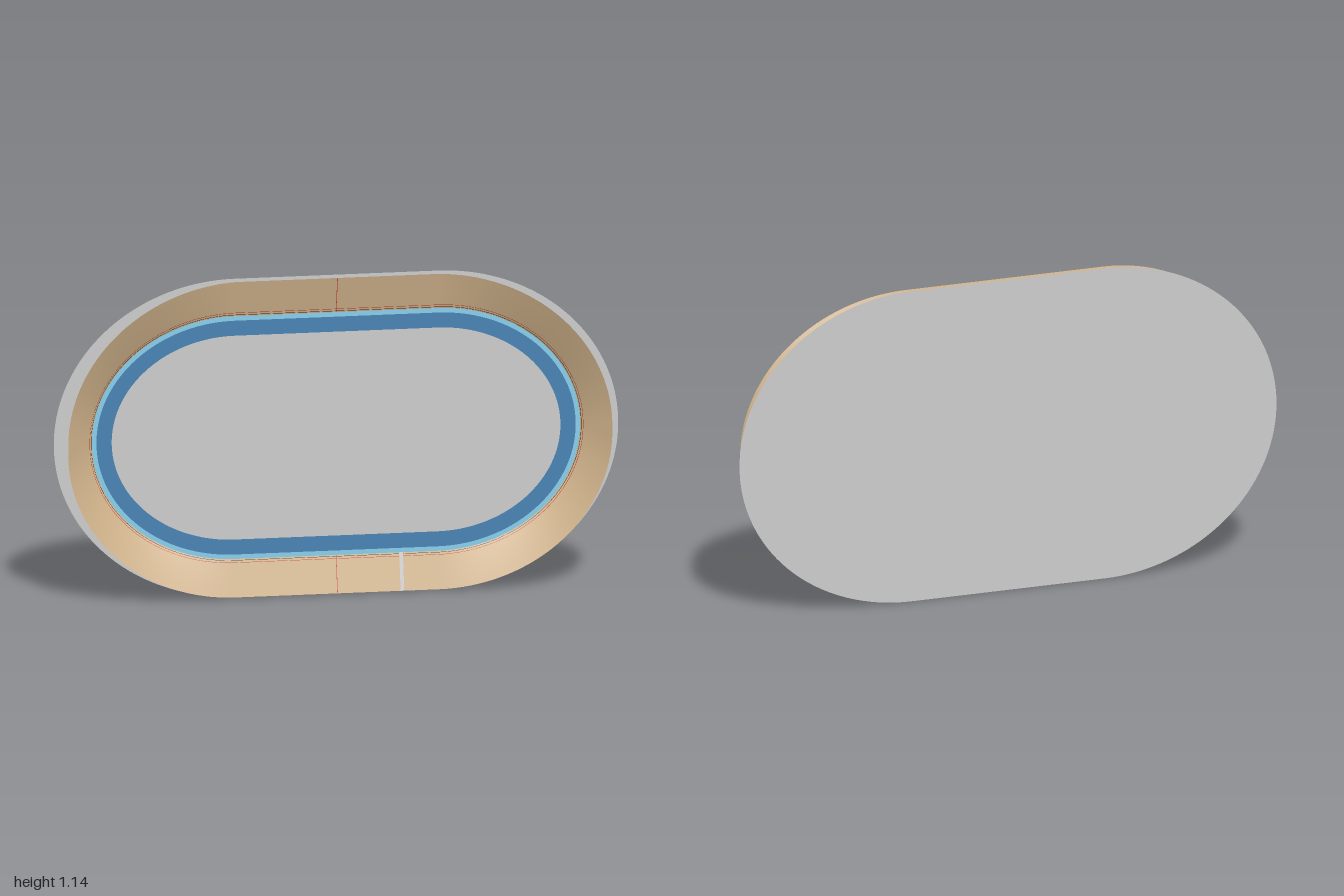
import * as THREE from 'three';

const STRAIGHT = 0.36;          // half length of the straights
const A = 0.505, B = 0.437;     // half axes of the curved ends at the inner edge
const WIDTH = 0.135;            // width of the banked track
const MID_Y = 0.572, BASE_Z = -0.046;
const LOW = THREE.MathUtils.degToRad(14), HIGH = THREE.MathUtils.degToRad(43);

// Stations round the inner edge: position, outward normal and bank angle
function makeStations(curveSteps = 72, straightSteps = 8) {
  const list = [];
  for (const side of [1, -1]) {
    for (let i = 0; i <= curveSteps; i++) {
      const t = (i / curveSteps - 0.5) * Math.PI;
      const n = new THREE.Vector2(Math.cos(t) / A, Math.sin(t) / B).normalize();
      const f = 1 - Math.abs(t) / (Math.PI / 2);
      const ease = (f + Math.sin(f * Math.PI / 2)) / 2;
      list.push({
        x: side * (STRAIGHT + A * Math.cos(t)), y: side * B * Math.sin(t),
        nx: side * n.x, ny: side * n.y, bank: LOW + (HIGH - LOW) * ease,
      });
    }
    for (let i = 1; i < straightSteps; i++) {
      list.push({
        x: side * STRAIGHT * (1 - 2 * i / straightSteps), y: side * B,
        nx: 0, ny: side, bank: LOW,
      });
    }
  }
  return list;
}

const stations = makeStations();

// Point at distance d outwards from the inner edge; lift raises it off the surface
function pointAt(s, d, lift, banked) {
  const a = banked ? s.bank : 0;
  const out = d * Math.cos(a) - lift * Math.sin(a);
  return [s.x + s.nx * out, MID_Y + s.y + s.ny * out, BASE_Z + d * Math.sin(a) + lift * Math.cos(a)];
}

function surface(name, positions, index, color) {
  const g = new THREE.BufferGeometry();
  g.setAttribute('position', new THREE.Float32BufferAttribute(positions, 3));
  g.setIndex(index);
  g.computeVertexNormals();
  const mesh = new THREE.Mesh(g, new THREE.MeshStandardMaterial({ color, side: THREE.DoubleSide }));
  mesh.name = name;
  return mesh;
}

// Closed band between two distances from the inner edge
function ring(name, d0, d1, lift, banked, color, rows = 1) {
  const pos = [], index = [], n = stations.length, w = rows + 1;
  stations.forEach((s, i) => {
    for (let r = 0; r <= rows; r++) pos.push(...pointAt(s, d0 + (d1 - d0) * r / rows, lift, banked));
    for (let r = 0; r < rows; r++) {
      const a = i * w + r, b = ((i + 1) % n) * w + r;
      index.push(a, a + 1, b + 1, a, b + 1, b);
    }
  });
  return surface(name, pos, index, color);
}

// Stripe across one straight of the track
function crossLine(name, x, width, side, color) {
  const pos = [];
  for (const dx of [-side * width / 2, side * width / 2]) {
    const s = { x: x + dx, y: side * B, nx: 0, ny: side, bank: LOW };
    pos.push(...pointAt(s, 0, 0.0012, true), ...pointAt(s, WIDTH, 0.0012, true));
  }
  return surface(name, pos, [0, 2, 3, 0, 3, 1], color);
}

export function createModel() {
  const model = new THREE.Group();
  model.name = 'bankedTrack';

  // Flat ground plate under the whole track
  const outline = stations.map((s) => new THREE.Vector2(...pointAt(s, WIDTH, 0, false).slice(0, 2)));
  const ground = new THREE.Mesh(
    new THREE.ShapeGeometry(new THREE.Shape(outline)),
    new THREE.MeshStandardMaterial({ color: 0xcccccc, side: THREE.DoubleSide }));
  ground.name = 'ground';
  ground.position.z = BASE_Z;
  model.add(ground);

  // Banked riding surface, steep in the ends and shallow on the straights
  model.add(ring('trackSurface', 0, WIDTH, 0, true, 0xd2b48c, 6));

  // Flat blue bands inside the track
  model.add(ring('innerStrip', -0.016, 0, 0.0012, false, 0x87ceeb));
  model.add(ring('apron', -0.07, -0.016, 0.0012, false, 0x4682b4));

  // Painted lines
  model.add(ring('measuringLine', 0.0045, 0.006, 0.0008, true, 0x222222));
  model.add(ring('sprintLine', 0.0125, 0.014, 0.0008, true, 0xc8321e));
  model.add(crossLine('finishLine', 0.23, 0.013, -1, 0xdddddd));
  for (const side of [1, -1]) model.add(crossLine('pursuitLine', 0, 0.002, side, 0xc8321e));

  return model;
}
